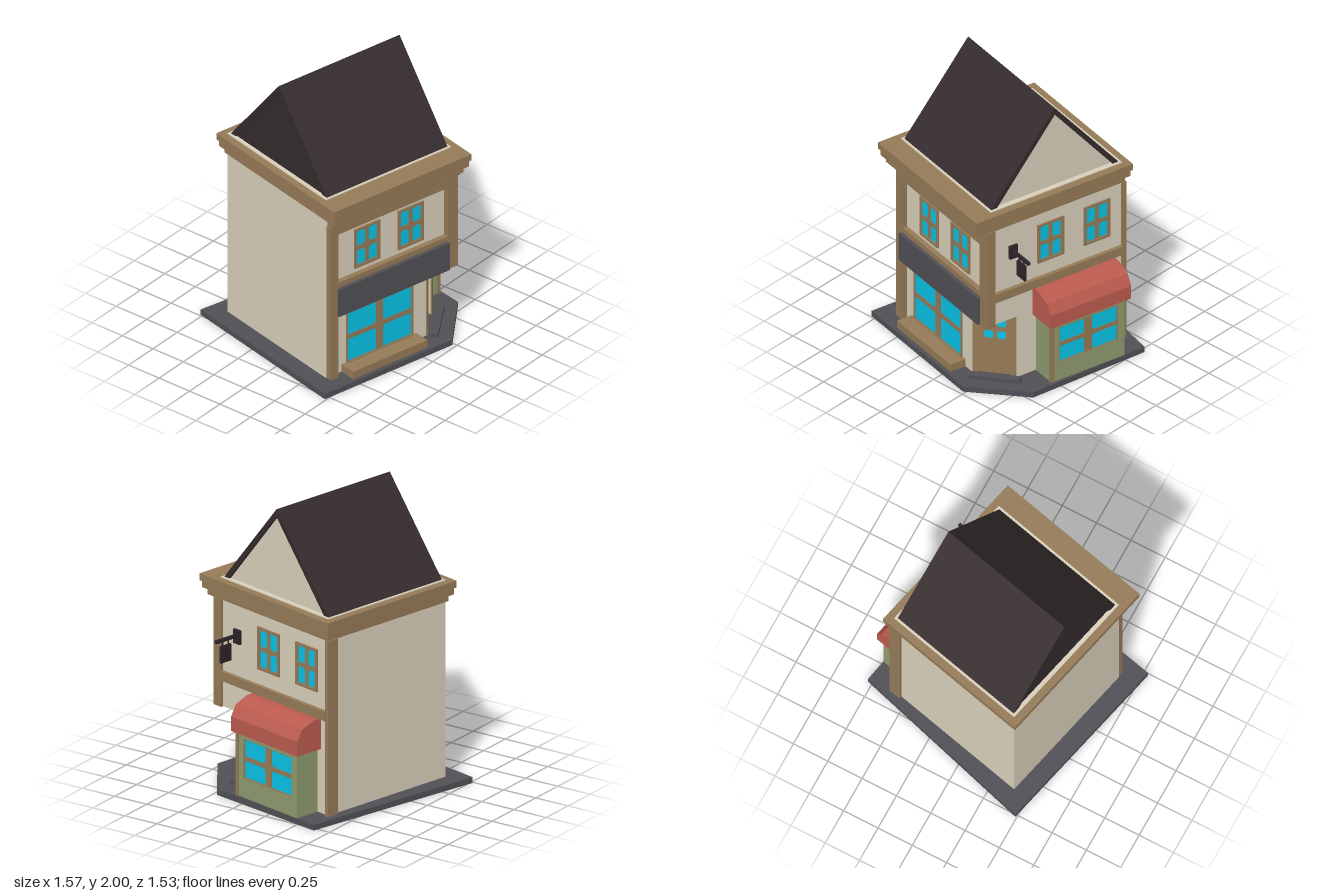
import * as THREE from 'three';

const mat = (name, color) => {
  const m = new THREE.MeshStandardMaterial({ color });
  m.name = name;
  return m;
};

export function createModel() {
  const wall = mat('cream plaster', 0xd8cfba);
  const wood = mat('tan timber', 0x957a57);
  const roofTile = mat('dark roof', 0x342b2d);
  const slate = mat('slate grey', 0x504f55);
  const glass = mat('cyan glass', 0x08c2e6);
  const green = mat('sage green', 0x8f9a6e);
  const red = mat('brick red', 0xbb5b4e);
  const iron = mat('black iron', 0x2c2429);

  const shop = new THREE.Group();
  shop.name = 'cornerShop';
  shop.rotation.y = -THREE.MathUtils.degToRad(13);

  const add = (name, geometry, material, parent = shop) => {
    const m = new THREE.Mesh(geometry, material);
    m.name = name;
    parent.add(m);
    return m;
  };
  // box given by its limits on each axis
  const box = (name, material, [x0, x1], [y0, y1], [z0, z1], parent = shop) => {
    const g = new THREE.BoxGeometry(x1 - x0, y1 - y0, z1 - z0);
    g.translate((x0 + x1) / 2, (y0 + y1) / 2, (z0 + z1) / 2);
    return add(name, g, material, parent);
  };
  const outline = (pts) => new THREE.Shape(pts.map(([a, b]) => new THREE.Vector2(a, b)));
  const rect = (x0, x1, y0, y1) => outline([[x0, y0], [x1, y0], [x1, y1], [x0, y1]]);
  const extrude = (shape, depth) =>
    new THREE.ExtrudeGeometry(shape, { depth, bevelEnabled: false, curveSegments: 4 });
  // floor plan of [x, z] points (clockwise from above) with a hole, raised from y0 to y1
  const plan = (pts, y0, y1, hole) => {
    const flip = (list) => list.map(([x, z]) => [x, -z]);
    const s = outline(flip(pts));
    s.holes.push(outline(flip(hole).reverse()));
    return extrude(s, y1 - y0).rotateX(-Math.PI / 2).translate(0, y0, 0);
  };
  // profile of [z, y] points swept from x0 to x1
  const sweepX = (pts, x0, x1) =>
    extrude(outline(pts.map(([z, y]) => [-z, y])), x1 - x0).rotateY(Math.PI / 2).translate(x0, 0, 0);

  // four-pane window facing +z, panes rounded towards the middle
  const makeWindow = (name, w, h, border, bar, pos, turn = 0) => {
    const g = new THREE.Group();
    g.name = name;
    const X = w / 2, Y = h / 2, r = 0.025;
    box('glass', glass, [-X + 0.004, X - 0.004], [-Y + 0.004, Y - 0.004], [-0.025, 0.003], g);
    const cross = rect(-X + 0.003, X - 0.003, -Y + 0.003, Y - 0.003);
    for (const i of [-1, 1]) for (const j of [-1, 1]) {
      const ix = i * bar[0] / 2, iy = j * bar[1] / 2, ox = i * (X - border), oy = j * (Y - border);
      const p = new THREE.Path();
      p.moveTo(ox, oy);
      p.lineTo(ox, iy).lineTo(ix + i * r, iy).quadraticCurveTo(ix, iy, ix, iy + j * r).lineTo(ix, oy);
      cross.holes.push(p);
    }
    add('mullions', extrude(cross, 0.006), wood, g);
    const rim = rect(-X, X, -Y, Y);
    const t = border * 0.8;
    rim.holes.push(rect(-X + t, X - t, -Y + t, Y - t));
    add('frame', extrude(rim, 0.012), wood, g);
    g.position.set(...pos);
    g.rotation.y = turn;
    shop.add(g);
  };

  // pavement, open beneath the hollow shop
  const inside = [[-0.51, 0.49], [-0.51, -0.49], [0.475, -0.49], [0.475, 0.257], [0.242, 0.49]];
  add('pavement', plan([[-0.654, 0.654], [-0.65, -0.635], [0.672, -0.564], [0.7, 0.32], [0.39, 0.654]], 0, 0.04, inside), slate);

  // ground floor with cut corner and door recess, full square floor above
  add('groundFloorWalls', plan([[-0.53, 0.51], [-0.53, -0.51], [0.495, -0.51], [0.495, 0.307], [0.476, 0.326],
    [0.454, 0.305], [0.287, 0.472], [0.308, 0.494], [0.292, 0.51]], 0.04, 0.51, inside), wall);
  add('upperFloorWalls', plan([[-0.53, 0.51], [-0.53, -0.51], [0.495, -0.51], [0.495, 0.51]], 0.51, 1.36, inside), wall);
  box('atticFloor', wall, [-0.53, 0.495], [1.36, 1.396], [-0.51, 0.51]);

  // corner posts and horizontal trim
  box('leftPost', wood, [-0.525, -0.46], [0.04, 1.19], [0.487, 0.55]);
  box('cornerPost', wood, [0.435, 0.515], [0.51, 1.25], [0.485, 0.555]);
  box('backPost', wood, [0.43, 0.515], [0.04, 1.25], [-0.53, -0.5]);
  box('frontTrim', wood, [-0.46, 0.435], [0.715, 0.753], [0.5, 0.545]);
  box('frieze', wood, [-0.46, 0.435], [1.12, 1.19], [0.5, 0.545]);
  box('sideTrim', wood, [0.48, 0.522], [0.695, 0.758], [-0.505, 0.49]);
  box('signBoard', slate, [-0.47, 0.437], [0.51, 0.715], [0.5, 0.57]);

  // stepped cornice
  [[1.248, 1.295, 0.037], [1.295, 1.343, 0.012], [1.343, 1.39, 0]].forEach(([y0, y1, d]) =>
    box('cornice', wood, [-0.58 + d, 0.546 - d], [y0, y1], [-0.56 + d, 0.655 - d]));

  // sloping brackets under the front cornice
  for (const x of [-0.49, -0.366, -0.073, 0.051, 0.344])
    add('bracket', sweepX([[0.5, 1.188], [0.545, 1.188], [0.6, 1.25], [0.5, 1.25]], x - 0.03, x + 0.03), wood);

  // gable roof with recessed ends
  add('roof', sweepX([[-0.497, 1.392], [-0.452, 1.392], [0, 1.948], [0.452, 1.392], [0.497, 1.392], [0, 2]], -0.512, 0.477), roofTile);
  const gable = [[-0.455, 1.392], [0.455, 1.392], [0, 1.95]];
  add('rightGable', sweepX(gable, 0.44, 0.46), wall);
  add('leftGable', sweepX(gable, -0.502, -0.482), roofTile);

  // windows
  for (const x of [-0.199, 0.159]) makeWindow('frontWindow', 0.207, 0.295, 0.022, [0.03, 0.035], [x, 0.933, 0.51]);
  for (const z of [0.048, -0.311]) makeWindow('sideWindow', 0.203, 0.293, 0.022, [0.028, 0.03], [0.495, 1.011, z], Math.PI / 2);
  makeWindow('shopWindow', 0.542, 0.382, 0.01, [0.058, 0.036], [-0.096, 0.286, 0.51]);
  box('shopSill', wood, [-0.402, 0.207], [0.04, 0.095], [0.505, 0.626]);

  // side bay, its front panel cut for the window, and its awning
  box('bay', green, [0.49, 0.66], [0.04, 0.5], [-0.407, 0.16]);
  const panel = rect(-0.16, 0.407, 0.04, 0.5);
  panel.holes.push(rect(-0.0985, 0.3585, 0.17, 0.446));
  add('bayFront', extrude(panel, 0.015).rotateY(Math.PI / 2).translate(0.66, 0, 0), green);
  box('bayPost', wood, [0.655, 0.68], [0.04, 0.49], [0.14, 0.166]);
  makeWindow('bayWindow', 0.457, 0.276, 0.008, [0.06, 0.032], [0.66, 0.308, -0.13], Math.PI / 2);
  add('awning', extrude(outline([[0.49, 0.48], [0.702, 0.48], [0.702, 0.58], [0.66, 0.655], [0.56, 0.692], [0.49, 0.692]]), 0.625)
    .translate(0, 0, -0.44), red);

  // corner entrance
  const door = new THREE.Group();
  door.name = 'entrance';
  door.position.set(0.371, 0, 0.389);
  door.rotation.y = Math.PI / 4;
  shop.add(door);
  box('doorPanel', wood, [-0.117, 0.117], [0.04, 0.5], [-0.015, 0.008], door);
  for (const s of [-1, 1]) {
    box('doorJamb', wood, [s * 0.126 - 0.018, s * 0.126 + 0.018], [0.04, 0.51], [0.026, 0.038], door);
    for (const [y, h] of [[0.441, 0.082], [0.339, 0.058]]) {
      const p = new THREE.Shape();
      p.absellipse(0, 0, 1, 1, 0, Math.PI * 2);
      // squared-off ellipse
      const pts = p.getPoints(6).slice(0, -1).map((v) => [
        s * 0.042 + Math.sign(v.x) * Math.sqrt(Math.abs(v.x)) * 0.03,
        y + Math.sign(v.y) * Math.sqrt(Math.abs(v.y)) * h / 2]);
      add('doorPane', new THREE.ShapeGeometry(outline(pts)).translate(0, 0, 0.011), glass, door);
    }
  }
  box('doorLintel', wood, [-0.144, 0.144], [0.487, 0.51], [-0.01, 0.038], door);
  box('doorStep', slate, [-0.163, 0.181], [0.04, 0.07], [0.06, 0.108], door);

  // hanging sign on the side wall
  box('signWallPlate', iron, [0.49, 0.515], [0.985, 1.08], [0.31, 0.372]);
  box('signRod', iron, [0.51, 0.69], [1.03, 1.05], [0.335, 0.355]);
  for (const x of [0.58, 0.63]) box('signHanger', iron, [x - 0.004, x + 0.004], [0.99, 1.035], [0.341, 0.349]);
  box('hangingSign', iron, [0.56, 0.65], [0.885, 1.0], [0.337, 0.353]);

  const model = new THREE.Group();
  model.name = 'cornerShopModel';
  model.add(shop);
  return model;
}
